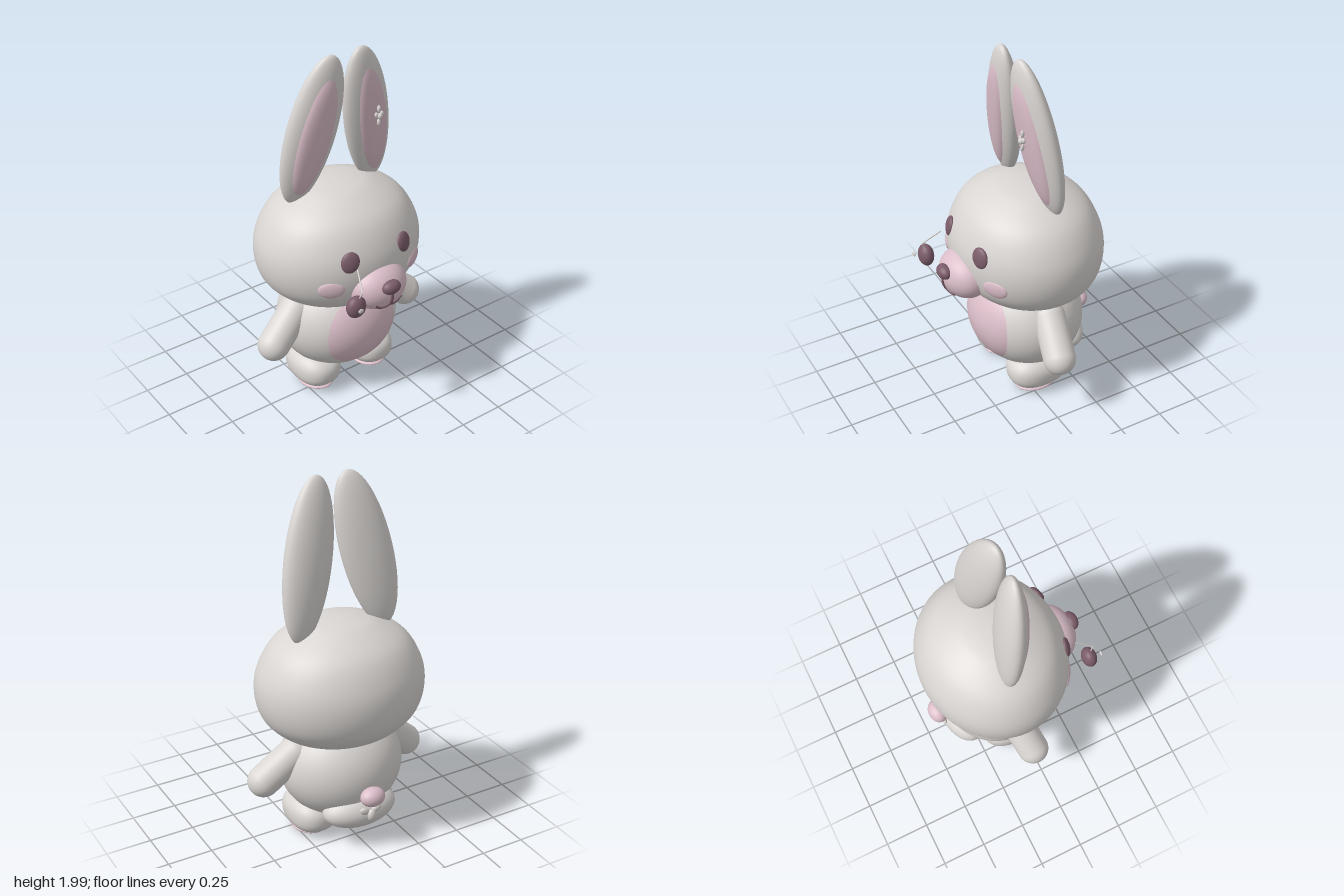
import * as THREE from 'three';
import { mergeVertices } from 'three/addons/utils/BufferGeometryUtils.js';

const material = (name, color) => {
  const m = new THREE.MeshStandardMaterial({ color });
  m.name = name;
  return m;
};

export function createModel() {
  const fur = material('grey fur', 0xd9d5d2);
  const pink = material('soft pink', 0xdbbec9);
  const dark = material('dark plum', 0x7b5c69);
  const model = new THREE.Group();
  model.name = 'rabbit';

  const add = (parent, name, geometry, mat, x = 0, y = 0, z = 0) => {
    const mesh = new THREE.Mesh(geometry, mat);
    mesh.name = name;
    mesh.position.set(x, y, z);
    parent.add(mesh);
    return mesh;
  };

  const ball = (parent, name, mat, [x, y, z], [rx, ry, rz], seg = 48) =>
    add(parent, name, new THREE.SphereGeometry(1, seg, seg / 2).scale(rx, ry, rz), mat, x, y, z);

  const tube = (parent, name, mat, points, radius) => {
    const curve = new THREE.CatmullRomCurve3(points.map((p) => new THREE.Vector3(...p)));
    return add(parent, name, new THREE.TubeGeometry(curve, 24, radius, 8), mat);
  };

  const smooth = (geometry) => {
    geometry.deleteAttribute('uv');
    geometry.deleteAttribute('normal');
    const merged = mergeVertices(geometry, 1e-5);
    merged.computeVertexNormals();
    return merged;
  };

  // Oval patch that hugs the front of an ellipsoid with radii [a, b, c]
  const patch = (rx, ry, dy, [a, b, c], lift) => {
    const g = new THREE.RingGeometry(0, 1, 64, 16);
    const p = g.attributes.position;
    for (let i = 0; i < p.count; i++) {
      const r = Math.hypot(p.getX(i), p.getY(i));
      const x = p.getX(i) * rx, y = p.getY(i) * ry + dy;
      const z = c * Math.sqrt(Math.max(0, 1 - (x / a) ** 2 - (y / b) ** 2));
      p.setXYZ(i, x, y, z + lift * (1 - r ** 8) - 0.002);
    }
    return smooth(g);
  };

  // Sphere squared off towards a rounded box
  const plumpBox = (rx, ry, rz, power) => {
    const g = new THREE.SphereGeometry(1, 48, 32);
    const p = g.attributes.position;
    const v = new THREE.Vector3();
    for (let i = 0; i < p.count; i++) {
      v.fromBufferAttribute(p, i);
      const n = Math.abs(v.x) ** power + Math.abs(v.y) ** power + Math.abs(v.z) ** power;
      v.multiplyScalar(n ** (-1 / power));
      p.setXYZ(i, v.x * rx, v.y * ry, v.z * rz);
    }
    return smooth(g);
  };

  // Head: flat-bottomed dome, shallower in z
  const profile = new THREE.SplineCurve([
    [0, 0.585], [0.13, 0.585], [0.25, 0.597], [0.35, 0.642], [0.435, 0.735], [0.466, 0.86],
    [0.445, 0.99], [0.36, 1.125], [0.21, 1.215], [0.1, 1.243], [0, 1.25],
  ].map(([x, y]) => new THREE.Vector2(x, y))).getPoints(60);
  profile.forEach((p) => { p.x = Math.max(0, p.x); });
  add(model, 'head', new THREE.LatheGeometry(profile, 72).scale(1, 1, 0.87), fur, 0, 0, -0.075);

  // Body and belly
  const bodyRadii = [0.345, 0.3, 0.31];
  ball(model, 'body', fur, [0, 0.4, -0.08], bodyRadii, 64);
  add(model, 'belly', patch(0.23, 0.225, 0.005, bodyRadii, 0.008), pink, 0, 0.4, -0.08);

  // Muzzle, nose and mouth
  const muzzle = { c: [0, 0.78, 0.29], r: [0.165, 0.13, 0.13] };
  ball(model, 'muzzle', pink, muzzle.c, muzzle.r);
  ball(model, 'nose', dark, [0, 0.825, 0.41], [0.055, 0.038, 0.038], 32);
  const onMuzzle = (x, y) => [x, y, 0.29 + 0.13 * Math.sqrt(1 - (x / 0.165) ** 2 - ((y - 0.78) / 0.13) ** 2)];
  tube(model, 'mouthLine', dark, [onMuzzle(0, 0.81), onMuzzle(0, 0.76), onMuzzle(0, 0.715)], 0.009);

  const earRadii = [0.142, 0.43, 0.072];
  for (const s of [1, -1]) {
    const side = s > 0 ? 'left' : 'right';

    // Face details
    tube(model, side + 'Mouth', dark, [[0, 0.72], [0.025, 0.705], [0.055, 0.704], [0.085, 0.727]]
      .map(([x, y]) => onMuzzle(s * x, y)), 0.008);
    const eye = ball(model, side + 'Eye', dark, [s * 0.17, 0.973, 0.285], [0.05, 0.058, 0.021], 32);
    eye.rotation.set(-0.2, s * 0.34, s * 0.25, 'YXZ');
    const cheek = ball(model, side + 'Cheek', pink, [s * 0.263, 0.82, 0.25], [0.072, 0.05, 0.018], 32);
    cheek.rotation.set(0.05, s * 0.53, 0, 'YXZ');

    // Ear with inner lining, tilted outwards and back at the base
    const ear = new THREE.Group();
    ear.name = side + 'Ear';
    ear.position.set(s * 0.17, 1.58, -0.05);
    ear.rotation.set(0.14, s * 0.1, s * 0.207, 'ZXY');
    model.add(ear);
    ball(ear, side + 'EarShell', fur, [0, 0, 0], earRadii);
    add(ear, side + 'EarLining', patch(0.093, 0.345, -0.02, earRadii, 0.012), pink);

    // Arm
    const from = new THREE.Vector3(s * 0.27, 0.52, -0.075);
    const to = new THREE.Vector3(s * 0.445, 0.37, -0.037);
    const axis = to.clone().sub(from);
    const arm = add(model, side + 'Arm', new THREE.CapsuleGeometry(0.088, axis.length(), 16, 40), fur);
    arm.position.copy(from).add(to).multiplyScalar(0.5);
    arm.quaternion.setFromUnitVectors(new THREE.Vector3(0, 1, 0), axis.normalize());

    // Foot and sole pad
    add(model, side + 'Foot', plumpBox(0.13, 0.104, 0.175, 2.4), fur, s * 0.18, 0.124, -0.055);
    ball(model, side + 'Sole', pink, [s * 0.18, 0.026, -0.04], [0.097, 0.021, 0.122], 40);
  }

  // Tail with a pink pompom
  ball(model, 'tail', fur, [0, 0.21, -0.285], [0.215, 0.105, 0.125]);
  ball(model, 'tailPompom', pink, [0, 0.342, -0.423], [0.07, 0.053, 0.054], 32);

  // Small bow under the pompom
  const bow = new THREE.Group();
  bow.name = 'tailBow';
  bow.position.set(0, 0.225, -0.412);
  model.add(bow);
  ball(bow, 'bowKnot', fur, [0, 0, -0.005], [0.025, 0.035, 0.02], 20);
  for (const s of [1, -1]) {
    ball(bow, 'bowLoop', fur, [s * 0.035, 0.025, 0.008], [0.032, 0.02, 0.014], 20).rotation.z = s * 0.5;
    tube(bow, 'bowRibbon', fur, [[0, 0, 0], [s * 0.02, -0.04, 0.012], [s * 0.038, -0.075, 0.04]], 0.005);
  }

  // Beaded clip on the left ear
  const clip = new THREE.Group();
  clip.name = 'earClip';
  clip.position.set(0.18, 1.605, 0.048);
  model.add(clip);
  ball(clip, 'clipCentre', fur, [0, 0, 0.006], [0.015, 0.017, 0.014], 16);
  for (const s of [1, -1]) {
    ball(clip, 'clipSideBead', fur, [s * 0.017, 0.008, 0], [0.011, 0.015, 0.009], 16);
    ball(clip, 'clipEndBead', fur, [0, s * 0.038, -0.002], [0.01, 0.02, 0.01], 16);
  }

  // Cherry charm hanging before the right cheek
  ball(model, 'charmBall', dark, [-0.222, 0.793, 0.408], [0.056, 0.062, 0.041], 32);
  ball(model, 'charmGlint', fur, [-0.238, 0.81, 0.472], [0.016, 0.014, 0.006], 16);
  tube(model, 'charmStem', fur, [[-0.165, 0.96, 0.34], [-0.185, 0.923, 0.39], [-0.204, 0.886, 0.437]], 0.004);
  tube(model, 'charmHook', fur, [[-0.204, 0.886, 0.437], [-0.208, 0.865, 0.428], [-0.213, 0.84, 0.418]], 0.004);

  return model;
}
